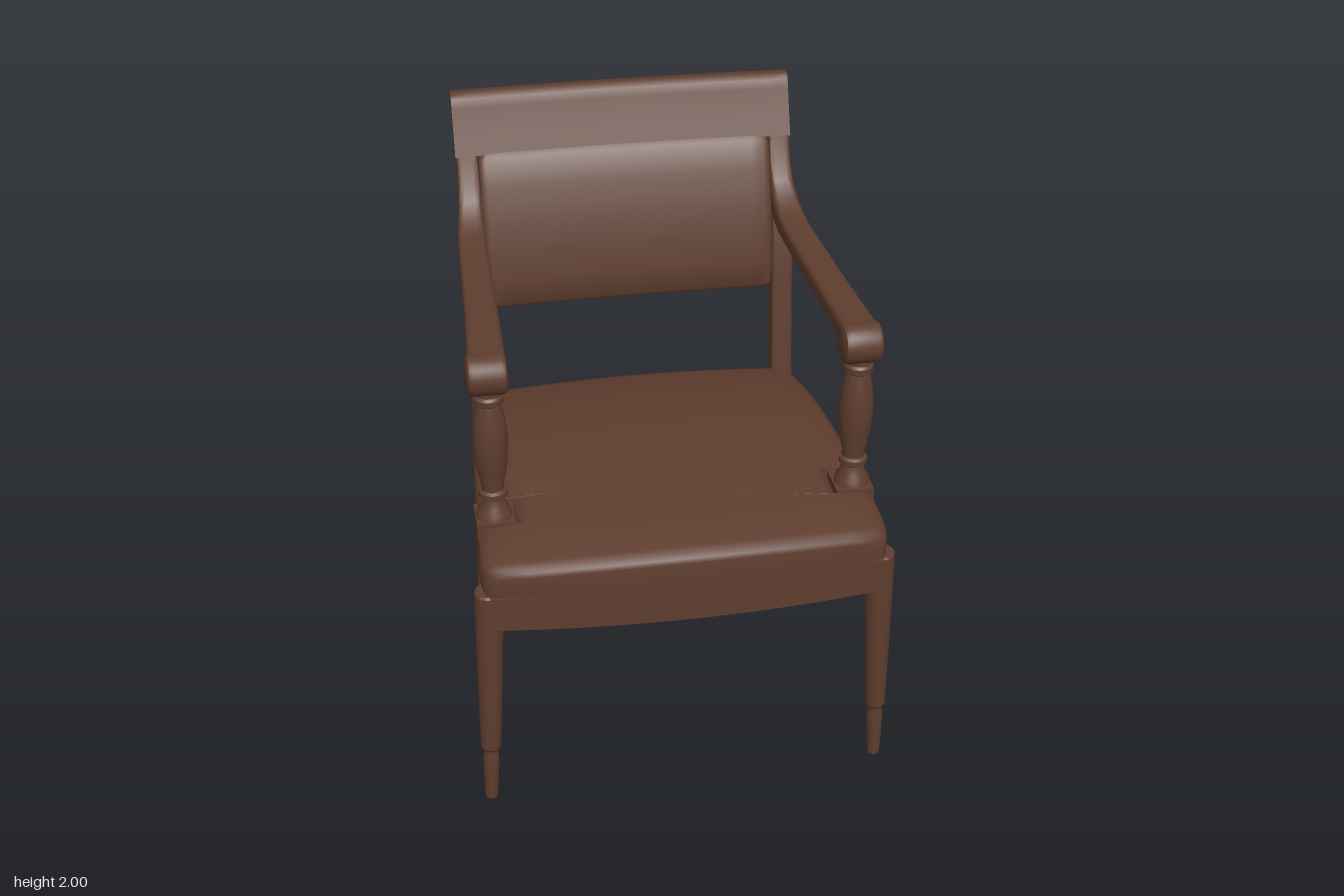
import * as THREE from 'three';
import { toCreasedNormals } from 'three/addons/utils/BufferGeometryUtils.js';

const wood = new THREE.MeshStandardMaterial({ color: 0x5e3d2e });
wood.name = 'brown';

// Closed solid through a list of rings ([x, y, z] points), with optional end caps
function loft(rings, capped = true) {
  const n = rings[0].length, pos = rings.flat(2), idx = [];
  for (let i = 0; i < rings.length - 1; i++) {
    for (let j = 0; j < n; j++) {
      const a = i * n + j, b = i * n + (j + 1) % n;
      idx.push(a, b, b + n, a, b + n, a + n);
    }
  }
  // caps are triangulated in the plane where the ring is widest
  if (capped) [rings[0], rings[rings.length - 1]].forEach((ring, end) => {
    const size = k => Math.max(...ring.map(p => p[k])) - Math.min(...ring.map(p => p[k]));
    const [, u, v] = [0, 1, 2].sort((a, b) => size(a) - size(b));
    const flat = ring.map(p => new THREE.Vector2(p[u], p[v]));
    const base = end ? (rings.length - 1) * n : 0;
    for (const tri of THREE.ShapeUtils.triangulateShape(flat, [])) {
      const [a, b, c] = tri.sort((p, q) => p - q).map(i => i + base);
      if (end) idx.push(a, b, c); else idx.push(c, b, a);
    }
  });
  // turn the faces outward if the signed volume is negative
  const corner = i => new THREE.Vector3().fromArray(pos, idx[i] * 3);
  let volume = 0;
  for (let i = 0; i < idx.length; i += 3) volume += corner(i).dot(corner(i + 1).cross(corner(i + 2)));
  if (volume < 0) idx.reverse();
  const g = new THREE.BufferGeometry();
  g.setAttribute('position', new THREE.Float32BufferAttribute(pos, 3));
  g.setIndex(idx);
  return g;
}

// Rounded rectangular ring between side limits xi..xo and two (z, y) points
function section(xi, xo, [za, ya], [zb, yb], e, n = 24) {
  const soft = t => Math.sign(t) * Math.pow(Math.abs(t), e);
  return Array.from({ length: n }, (_, i) => {
    const a = (i + 0.5) / n * Math.PI * 2;
    const u = soft(Math.cos(a)), t = (soft(Math.sin(a)) + 1) / 2;
    return [(xi + xo) / 2 + u * (xo - xi) / 2, ya + (yb - ya) * t, za + (zb - za) * t];
  });
}

function lathe(points, sides = 28) {
  return new THREE.LatheGeometry(points.map(p => new THREE.Vector2(p[0], p[1])), sides);
}

// Mirror image across x = 0 with the face order corrected
function mirrored(geometry) {
  const p = geometry.toNonIndexed().attributes.position;
  const out = [];
  for (let i = 0; i < p.count; i += 3) {
    for (const k of [i, i + 2, i + 1]) out.push(-p.getX(k), p.getY(k), p.getZ(k));
  }
  const g = new THREE.BufferGeometry();
  g.setAttribute('position', new THREE.Float32BufferAttribute(out, 3));
  return g;
}

export function createModel() {
  const chair = new THREE.Group();
  chair.name = 'armchair';
  const add = (name, g, crease = 0.6) => {
    const mesh = new THREE.Mesh(toCreasedNormals(g, crease), wood);
    mesh.name = name;
    chair.add(mesh);
  };
  const addPair = (name, g) => {
    add(name + 'Left', g);
    add(name + 'Right', mirrored(g));
  };

  // Rear legs sweeping up into the back stiles: y, front z, back z, inner x, outer x
  const stile = [
    [0, -0.458, -0.538, 0.545, 0.608], [0.25, -0.425, -0.52, 0.535, 0.604],
    [0.5, -0.405, -0.505, 0.525, 0.6], [0.73, -0.397, -0.5, 0.515, 0.597],
    [0.85, -0.41, -0.498, 0.515, 0.594], [1, -0.43, -0.503, 0.515, 0.591],
    [1.2, -0.452, -0.523, 0.515, 0.59], [1.35, -0.47, -0.54, 0.515, 0.59],
    [1.5, -0.495, -0.562, 0.515, 0.59], [1.65, -0.538, -0.596, 0.515, 0.59],
    [1.8, -0.592, -0.636, 0.515, 0.589], [1.9, -0.636, -0.658, 0.515, 0.588],
  ];
  addPair('rearLegAndStile', loft(stile.map(([y, zf, zb, xi, xo]) =>
    section(xi, xo, [zb, y], [zf, y], 0.28))));

  // Turned front legs, splayed slightly outward, with a waisted foot
  const leg = lathe([[0, 0], [0.021, 0], [0.024, 0.06], [0.027, 0.15], [0.026, 0.18], [0.022, 0.2],
    [0.025, 0.21], [0.034, 0.22], [0.035, 0.245],
    [0.042, 0.55], [0.047, 0.79], [0.047, 0.845], [0.042, 0.852], [0, 0.852]]);
  leg.rotateZ(0.032).translate(0.667, 0, 0.637);
  addPair('frontLeg', leg);

  // Seat frame: bowed front, hollow centre
  const outline = (path, inset) => {
    const f = 0.69 - inset, b = 0.465 - inset, w = 0.64 - inset, r = 0.588 - inset;
    path.moveTo(-w, -f);
    path.quadraticCurveTo(0, -f - 0.09, w, -f);
    path.lineTo(r, b);
    path.lineTo(-r, b);
    path.closePath();
    return path;
  };
  const frame = outline(new THREE.Shape(), 0);
  frame.holes.push(outline(new THREE.Path(), 0.04));
  const rail = new THREE.ExtrudeGeometry(frame, { depth: 0.122, bevelEnabled: false, curveSegments: 20 });
  rail.rotateX(-Math.PI / 2).translate(0, 0.73, 0);
  add('seatFrame', rail);

  // Domed cushion with notches at the arm posts: z, half width, edge drop
  const rows = [
    [-0.475, 0.57, 0.03], [-0.47, 0.575, 0.014], [-0.455, 0.58, 0.004], [-0.42, 0.588, 0],
    [-0.34, 0.595, 0], [-0.25, 0.602, 0], [-0.15, 0.611, 0], [-0.05, 0.62, 0], [0.15, 0.636, 0],
    [0.343, 0.648, 0], [0.344, 0.53, 0], [0.41, 0.53, 0], [0.478, 0.53, 0], [0.479, 0.652, 0],
    [0.495, 0.658, 0], [0.58, 0.661, 0], [0.65, 0.661, 0.001],
    [0.69, 0.656, 0.003], [0.715, 0.648, 0.008], [0.73, 0.636, 0.018], [0.735, 0.625, 0.033],
  ];
  const cushion = rows.map(([z, w, drop]) => {
    const top = x => 1.03 - 0.035 * (x / 0.66) ** 2 - (z < 0 ? 0.33 : 0.09) * z * z - drop;
    const bow = x => z - 0.055 * (x / 0.66) ** 2 * THREE.MathUtils.clamp((z - 0.48) / 0.25, 0, 1);
    const ring = [[-w, 0.85, bow(w)], [-w, top(w) - 0.035, bow(w)], [-w + 0.01, top(w) - 0.011, bow(w)]];
    for (let i = -8; i <= 8; i++) {
      const x = i / 8 * (w - 0.035);
      ring.push([x, top(x), bow(x)]);
    }
    ring.push([w - 0.01, top(w) - 0.011, bow(w)], [w, top(w) - 0.035, bow(w)]);
    for (let i = 8; i >= -7; i--) ring.push([w * i / 8, 0.85, bow(w * i / 8)]);
    return ring;
  });
  // front and rear faces close onto a level line so they follow the bow
  const closed = ring => ring.map(([x, , z]) => [x, 0.88, z]);
  add('seatCushion', loft([closed(cushion[0]), ...cushion, closed(cushion[cushion.length - 1])], false), 0.8);

  // Arm post: square block below, turned baluster above
  const block = new THREE.BoxGeometry(0.125, 0.14, 0.132);
  block.translate(0.592, 0.92, 0.411);
  addPair('armPostBlock', block);
  const post = lathe([[0, 0.98], [0.06, 0.985], [0.056, 1.01], [0.042, 1.03], [0.036, 1.06], [0.046, 1.068],
    [0.046, 1.085], [0.036, 1.092], [0.036, 1.105], [0.05, 1.18], [0.057, 1.27], [0.05, 1.35], [0.038, 1.405],
    [0.047, 1.412], [0.048, 1.432], [0.04, 1.44], [0.04, 1.48], [0, 1.48]]);
  post.translate(0.594, 0, 0.413);
  addPair('armPost', post);

  // Armrest curving up into the stile: inner x, outer x, lower (z, y), upper (z, y)
  const arm = [
    [0.533, 0.652, [0.4, 1.505], [0.4, 1.575]], [0.525, 0.634, [0.1, 1.505], [0.1, 1.575]],
    [0.515, 0.615, [-0.33, 1.505], [-0.33, 1.575]], [0.513, 0.61, [-0.42, 1.508], [-0.41, 1.588]],
    [0.512, 0.604, [-0.49, 1.525], [-0.47, 1.612]], [0.512, 0.595, [-0.55, 1.575], [-0.525, 1.66]],
    [0.513, 0.591, [-0.58, 1.65], [-0.56, 1.72]], [0.515, 0.589, [-0.605, 1.75], [-0.588, 1.79]],
  ];
  addPair('armrest', loft(arm.map(([xi, xo, lo, up]) => section(xi, xo, lo, up, 0.4))));

  // Rolled hand grip at the front of the arm
  const grip = lathe([[0, -0.063], [0.054, -0.063], [0.064, -0.057], [0.068, -0.045],
    [0.068, 0.045], [0.064, 0.057], [0.054, 0.063], [0, 0.063]]);
  grip.rotateZ(-Math.PI / 2).translate(0.596, 1.507, 0.409);
  addPair('handGrip', grip);

  // Parts of the back share a slight rearward bow
  const bowBack = x => -0.015 * (1 - (x / 0.59) ** 2);

  // Crest rail with a roll along the top: z, y
  const crest = [[-0.59, 1.8], [-0.61, 1.85], [-0.632, 1.905], [-0.65, 1.955], [-0.66, 1.983], [-0.67, 1.995],
    [-0.685, 2], [-0.71, 2], [-0.722, 1.992], [-0.725, 1.982], [-0.72, 1.973], [-0.702, 1.968],
    [-0.686, 1.945], [-0.662, 1.88], [-0.636, 1.8]];
  add('crestRail', loft(Array.from({ length: 21 }, (_, i) => {
    const x = -0.592 + i / 20 * 1.184;
    return crest.map(([z, y]) => [x, y, z + bowBack(x)]);
  })), 0.8);

  // Upholstered back panel with softened edges
  const curve = y => -0.456 - 0.03 * (y - 1.27) - 0.39 * (y - 1.27) ** 2;
  const xs = [-0.512, -0.505, -0.49];
  for (let i = -6; i <= 6; i++) xs.push(i * 0.075);
  xs.push(0.49, 0.505, 0.512);
  add('backPanel', loft(xs.map(x => {
    const inset = Math.max(0, (Math.abs(x) - 0.49) / 0.022) ** 2 * 0.02;
    const ring = [], y0 = 1.27 + inset, y1 = 1.81 - inset;
    const edge = t => 0.012 * Math.max(0, Math.abs(t * 2 - 1) - 0.94) / 0.06;
    const ts = [0, 0.03, 0.2, 0.4, 0.6, 0.8, 0.97, 1];
    const point = (t, depth) => {
      const y = y0 + (y1 - y0) * t;
      ring.push([x, y, curve(y) + bowBack(x) + depth]);
    };
    ts.forEach(t => point(t, -edge(t) - inset * 0.5));
    ts.slice().reverse().forEach(t => point(t, -0.052 + edge(t) + inset * 0.5));
    return ring;
  })), 0.7);

  return chair;
}
